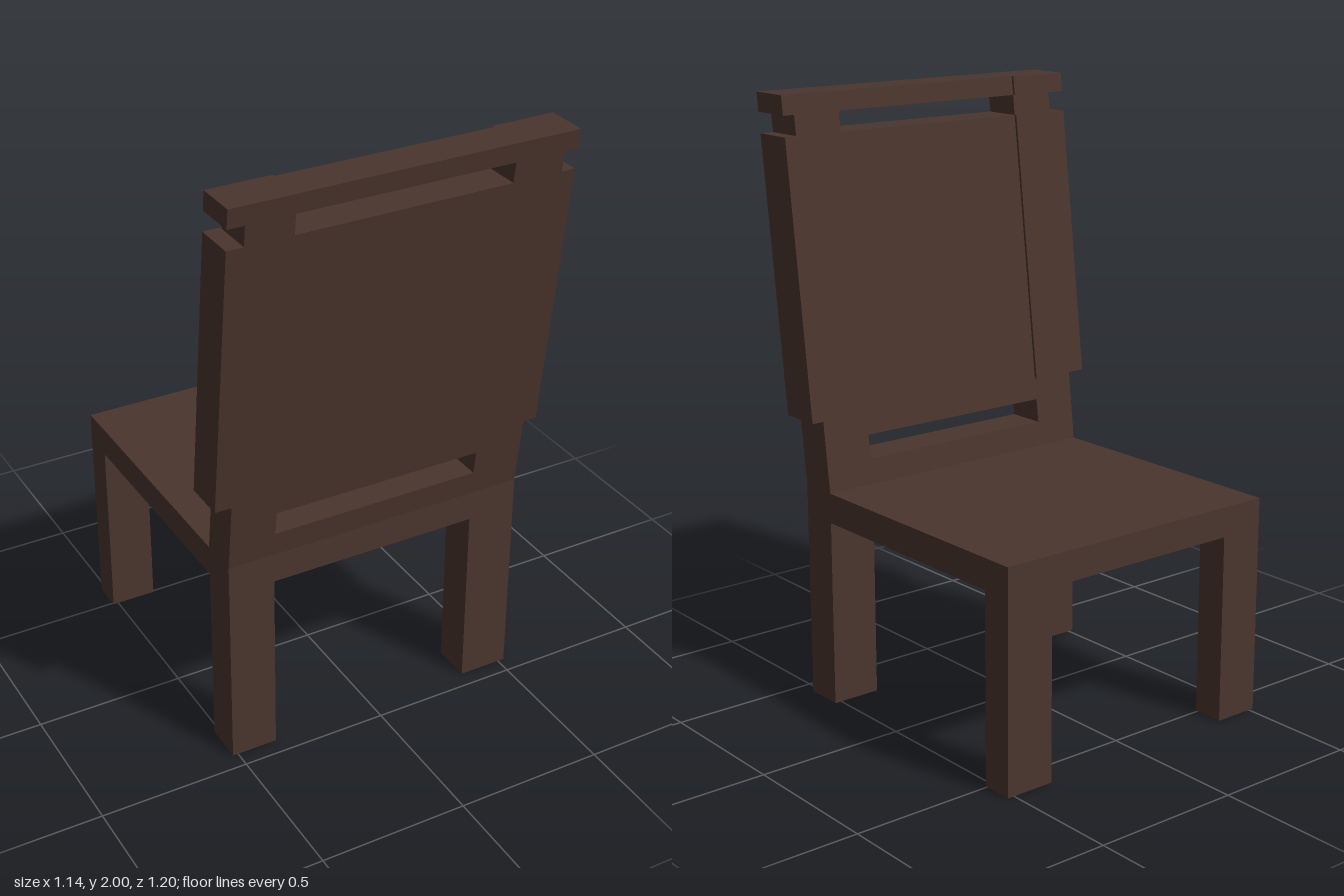
import * as THREE from 'three';

const SEAT_TOP = 0.73, SEAT_BOTTOM = 0.63;
const BACK_OUT = 0.443, BACK_IN = 0.31; // back thickness at seat height
const LEAN = 0.123;                     // z shift per unit of height

export function createModel() {
  const chair = new THREE.Group();
  chair.name = 'chair';
  const wood = new THREE.MeshStandardMaterial({ color: 0x4a352d });
  wood.name = 'dark brown wood';

  // Box given by its limits; leaning parts are sheared backwards above the seat
  function block(name, [x0, x1], [y0, y1], [z0, z1], lean = 0) {
    const geo = new THREE.BoxGeometry(x1 - x0, y1 - y0, z1 - z0);
    geo.translate((x0 + x1) / 2, (y0 + y1) / 2, (z0 + z1) / 2);
    const p = geo.attributes.position;
    for (let i = 0; i < p.count; i++) {
      p.setZ(i, p.getZ(i) + lean * (p.getY(i) - SEAT_TOP));
    }
    geo.computeVertexNormals();
    const mesh = new THREE.Mesh(geo, wood);
    mesh.name = name;
    chair.add(mesh);
  }
  const leaning = (name, x, y, proud = 0) =>
    block(name, x, y, [BACK_IN - proud, BACK_OUT], LEAN);

  // Seat
  block('seat', [-0.518, 0.523], [SEAT_BOTTOM, SEAT_TOP], [-0.6, BACK_OUT]);

  // Legs, posts and the thicker, wider cladding around each post
  const sides = [
    { side: 'right', post: [-0.518, -0.362], clad: [-0.573, -0.362] },
    { side: 'left', post: [0.354, 0.523], clad: [0.354, 0.57] },
  ];
  for (const { side, post, clad } of sides) {
    block(side + 'SeatEndLeg', post, [0, SEAT_BOTTOM], [-0.6, -0.493]);
    block(side + 'BackrestLeg', post, [0, SEAT_BOTTOM], [BACK_IN, BACK_OUT]);
    leaning(side + 'LowerPost', post, [SEAT_TOP, 0.967]);
    leaning(side + 'PostCladding', clad, [0.967, 1.87], 0.009);
    leaning(side + 'UpperPost', post, [1.87, 1.937]);
    leaning(side + 'TopRailEnd', clad, [1.937, 2], 0.009);
  }

  // Middle of the backrest, with a slot above and below the panel
  const middle = [-0.362, 0.354];
  leaning('bottomRail', middle, [SEAT_TOP, 0.813]);
  leaning('backPanel', middle, [0.893, 1.87]);
  leaning('topRail', middle, [1.937, 2]);

  return chair;
}
